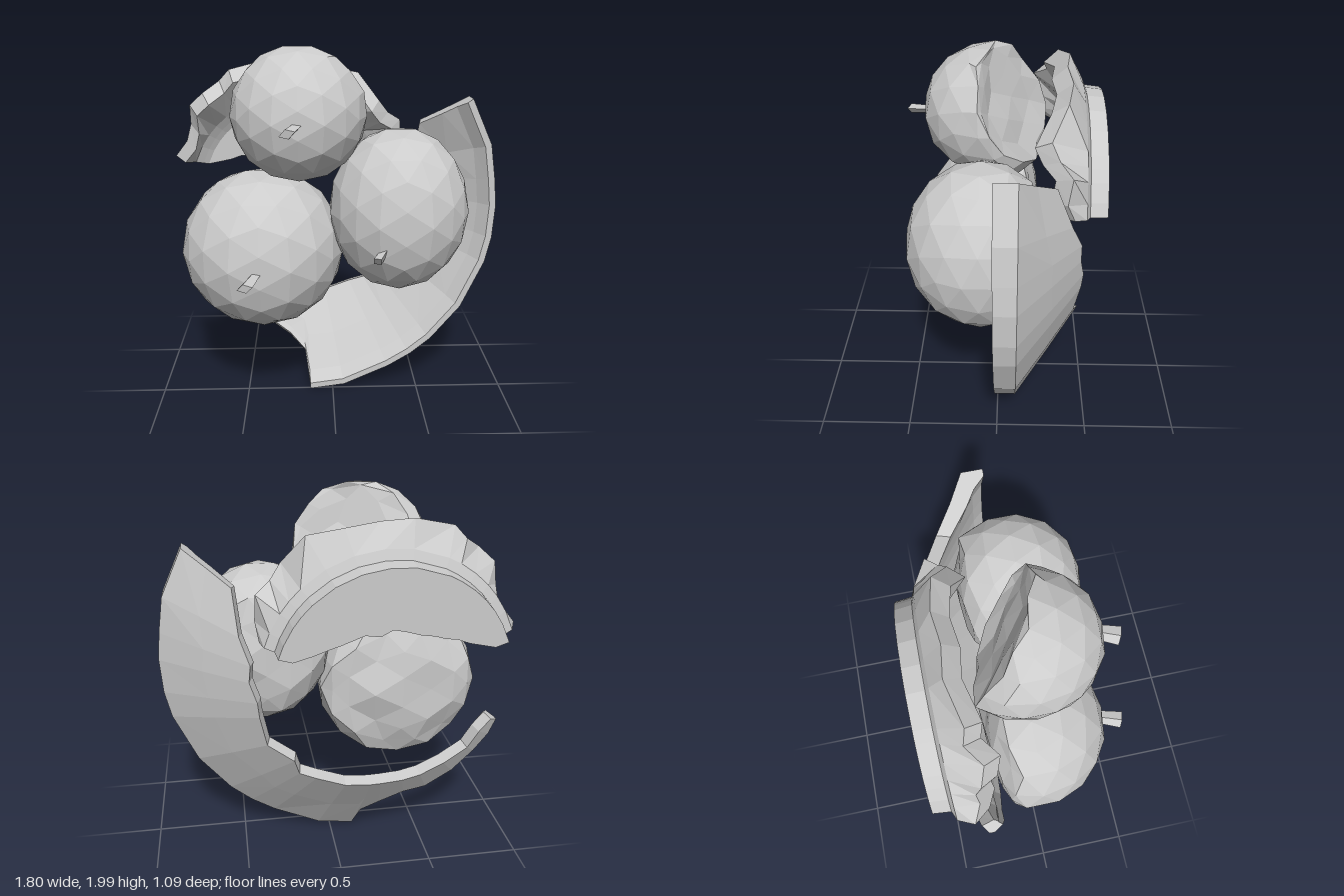
import * as THREE from 'three';

const material = new THREE.MeshStandardMaterial({ color: 0xcccccc, flatShading: true });

function addMesh(parent, name, geometry) {
  const mesh = new THREE.Mesh(geometry, material);
  mesh.name = name;
  parent.add(mesh);
  return mesh;
}

// Sweeps matched outer and inner wall profiles [r, z] around an axis along z, with closed ends.
function shardGeometry(cx, cy, sections) {
  const positions = [];
  const rings = sections.map(({ angle, outer, inner }) => {
    const a = THREE.MathUtils.degToRad(angle);
    return [...outer, ...[...inner].reverse()].map(([r, z]) => [cx + r * Math.cos(a), cy + r * Math.sin(a), z]);
  });
  const quad = (a, b, c, d) => positions.push(...a, ...b, ...c, ...a, ...c, ...d);
  const n = rings[0].length;
  for (let i = 0; i < rings.length - 1; i++) {
    for (let j = 0; j < n; j++) {
      const k = (j + 1) % n;
      quad(rings[i][j], rings[i + 1][j], rings[i + 1][k], rings[i][k]);
    }
  }
  const first = rings[0], last = rings[rings.length - 1];
  for (let k = 0; k < n / 2 - 1; k++) {
    quad(first[k], first[k + 1], first[n - 2 - k], first[n - 1 - k]);
    quad(last[n - 1 - k], last[n - 2 - k], last[k + 1], last[k]);
  }
  const geometry = new THREE.BufferGeometry();
  geometry.setAttribute('position', new THREE.Float32BufferAttribute(positions, 3));
  geometry.computeVertexNormals();
  return geometry;
}

// Large piece of bowl wall: [angle, broken inner radius, outer radius]; the rim survives where the radius is full
function rimShard() {
  const coneZ = (r) => -0.1 - (1.09 - r) * 0.69;
  const table = [
    [-154, 0.74, 0.79], [-147, 0.71, 0.81], [-138, 0.73, 0.81], [-126, 0.69, 0.83],
    [-114, 0.67, 0.84], [-105, 0.65, 0.8], [-95, 0.63, 0.86], [-89, 0.63, 0.94],
    [-87.5, 0.63, 1.1], [-77, 0.64, 1.1], [-62, 0.64, 1.08], [-54, 0.66, 1.08], [-46, 0.6, 1.08],
    [-32, 0.65, 1.08], [-16, 0.61, 1.08], [-8, 0.6, 1.08], [2, 0.63, 1.08], [10, 0.63, 1.08],
    [20, 0.71, 1.1], [34, 0.83, 1.11],
  ];
  const sections = table.map(([angle, ri, ro]) => {
    const whole = ro > 1;
    const mid = (ri + ro) / 2;
    const top = whole ? 0.01 : coneZ(ro) + 0.03;
    return {
      angle,
      outer: [[ri, coneZ(ri)], [mid, coneZ(mid)], [ro, whole ? -0.1 : coneZ(ro)], [ro, top]],
      inner: [[ri - 0.02, coneZ(ri) + 0.07], [mid - 0.03, coneZ(mid) + 0.08],
        [ro - (whole ? 0.09 : 0.06), whole ? -0.05 : coneZ(ro) + 0.05], [ro - 0.035, whole ? 0.01 : top + 0.05]],
    };
  });
  return shardGeometry(-0.18, 1.1, sections);
}

// Base piece with part of the foot: [angle, broken floor radius, wall radius, wall edge z]
function baseShard() {
  const table = [
    [17, 0.52, 0.67, -0.38], [24, 0.44, 0.72, -0.34], [33.5, 0.38, 0.78, -0.36], [40, 0.35, 0.75, -0.3],
    [47, 0.33, 0.76, -0.26], [60, 0.31, 0.81, -0.34], [73, 0.27, 0.77, -0.37], [86, 0.29, 0.76, -0.35],
    [98, 0.28, 0.78, -0.37], [114, 0.28, 0.79, -0.32], [120, 0.29, 0.76, -0.34], [128, 0.31, 0.76, -0.27],
    [136, 0.33, 0.76, -0.3], [143, 0.37, 0.69, -0.33], [151, 0.41, 0.66, -0.32], [161, 0.52, 0.69, -0.36],
  ];
  const sections = table.map(([angle, ri, rt, zt]) => ({
    angle,
    outer: [[ri, -0.55], [0.59, -0.55], [0.6, -0.46], [0.65, -0.44], [rt, zt]],
    inner: [[ri - 0.02, -0.41], [0.5, -0.41], [0.53, -0.39], [0.57, -0.36], [rt - 0.07, zt + 0.08]],
  }));
  return shardGeometry(-0.25, 1.12, sections);
}

// Faceted fruit with a stem dimple in front and a broken-off back; bulge < 0 hollows the back
function fruitGeometry(cut, bulge, slopeX, slopeY) {
  const geometry = new THREE.IcosahedronGeometry(1, 2);
  const p = geometry.attributes.position;
  for (let i = 0; i < p.count; i++) {
    const x = p.getX(i), y = p.getY(i);
    let z = p.getZ(i);
    const rho2 = x * x + y * y;
    const wobble = 0.06 * Math.sin(7 * x + 3) * Math.cos(6 * y);
    const back = cut + slopeX * x + slopeY * y + wobble;
    if (z < back) z = back - bulge * Math.max(0, 1 - rho2);
    else if (z > 0) z -= 0.08 * Math.exp(-rho2 / 0.03);
    p.setZ(i, z);
  }
  geometry.computeVertexNormals();
  return geometry;
}

// Short twisted stem, wider at its tip
function addStem(parent, name, base, tip) {
  const a = new THREE.Vector3(...base), b = new THREE.Vector3(...tip);
  const direction = b.clone().sub(a);
  const geometry = new THREE.CylinderGeometry(0.045, 0.03, direction.length(), 4);
  geometry.scale(1, 1, 0.55);
  const stem = addMesh(parent, name, geometry);
  stem.position.copy(a).add(b).multiplyScalar(0.5);
  stem.quaternion.setFromUnitVectors(new THREE.Vector3(0, 1, 0), direction.normalize());
}

export function createModel() {
  const group = new THREE.Group();
  group.name = 'brokenFruitBowl';

  addMesh(group, 'rimShard', rimShard());
  addMesh(group, 'baseShard', baseShard());

  // back: cut depth, bulge, slope along x, slope along y
  const fruits = [
    { name: 'lowerFruit', at: [-0.385, 0.91, 0], size: [0.445, 0.44, 0.435], back: [-0.28, 0.25, 0, 0],
      stem: [[-0.39, 0.9, 0.34], [-0.45, 0.88, 0.53]] },
    { name: 'sideFruit', at: [0.35, 1.147, 0.08], size: [0.375, 0.44, 0.385], back: [-0.5, 0.3, 0, 0],
      stem: [[0.27, 1.04, 0.37], [0.21, 0.98, 0.44]] },
    { name: 'topFruit', at: [-0.18, 1.65, 0.02], size: [0.36, 0.352, 0.38], back: [-0.42, -0.12, 0.5, 0.45],
      stem: [[-0.17, 1.65, 0.3], [-0.23, 1.63, 0.47]] },
  ];
  for (const { name, at, size, back, stem } of fruits) {
    const fruit = addMesh(group, name, fruitGeometry(...back));
    fruit.position.set(...at);
    fruit.scale.set(...size);
    addStem(group, name + 'Stem', ...stem);
  }
  return group;
}
